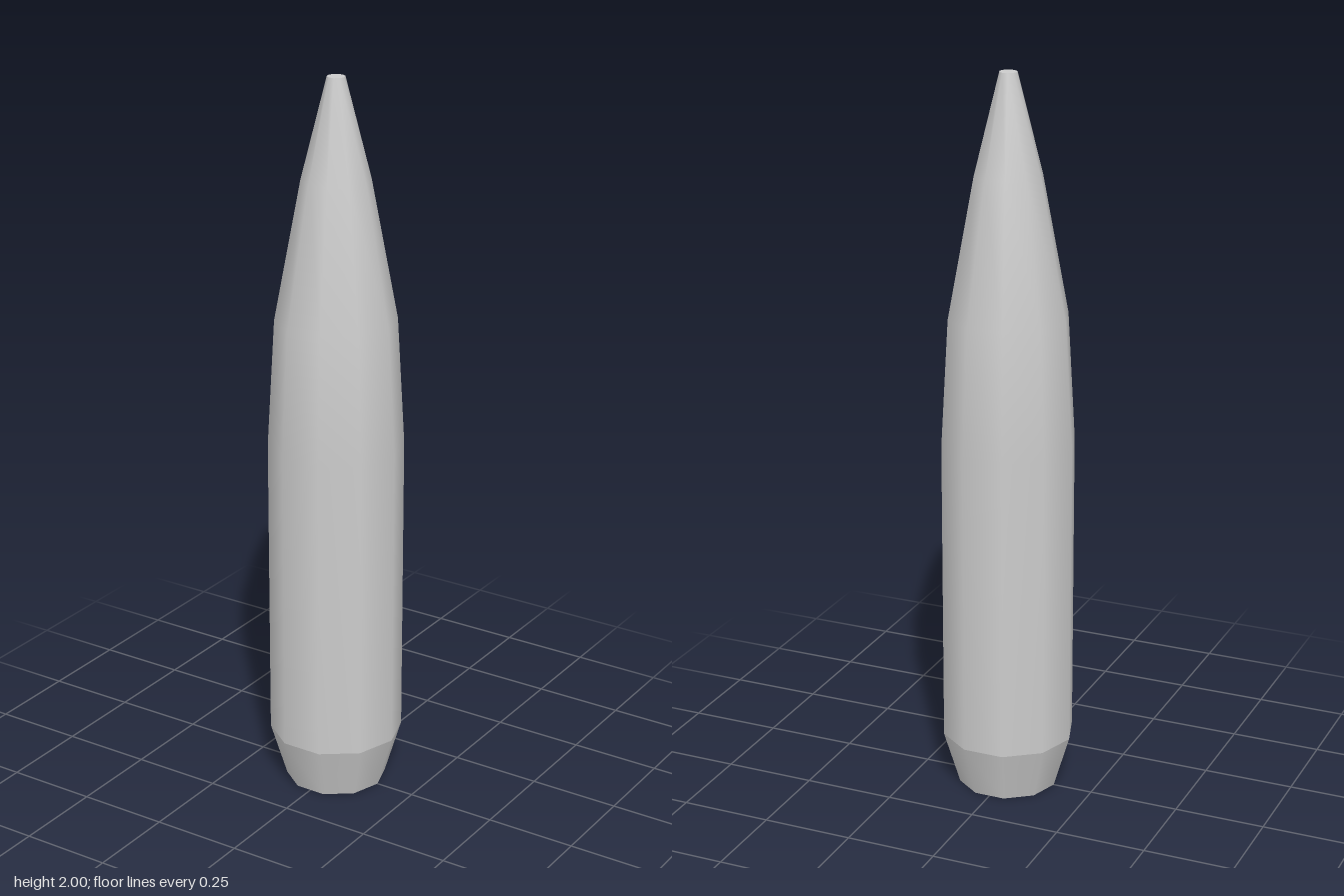
import * as THREE from 'three';

const SIDES = 10;

export function createModel() {
  const group = new THREE.Group();
  group.name = 'pointedRound';
  const material = new THREE.MeshStandardMaterial({ color: 0xcccccc });

  const add = (name, geometry) => {
    const mesh = new THREE.Mesh(geometry, material);
    mesh.name = name;
    group.add(mesh);
  };

  // Ten-sided revolved shell with a corner on the x axis; profile is [radius, height]
  const shell = (profile) => new THREE.LatheGeometry(
    profile.map(([r, y]) => new THREE.Vector2(r, y)), SIDES, Math.PI / 2);

  // Flat end facing up (1) or down (-1)
  const cap = (radius, y, facing) => new THREE.CircleGeometry(radius, SIDES)
    .rotateX(-facing * Math.PI / 2).translate(0, y, 0);

  // Tapered tail, meeting the body at a crisp edge
  add('taperedTail', shell([[0.138, 0], [0.183, 0.15]]));

  // Straight body flowing smoothly into the curved nose
  add('bodyAndNose', shell([
    [0.183, 0.15], [0.183, 1.0], [0.163, 1.35], [0.092, 1.73], [0.024, 2],
  ]));

  add('base', cap(0.138, 0, -1));
  add('tip', cap(0.024, 2, 1));

  return group;
}
